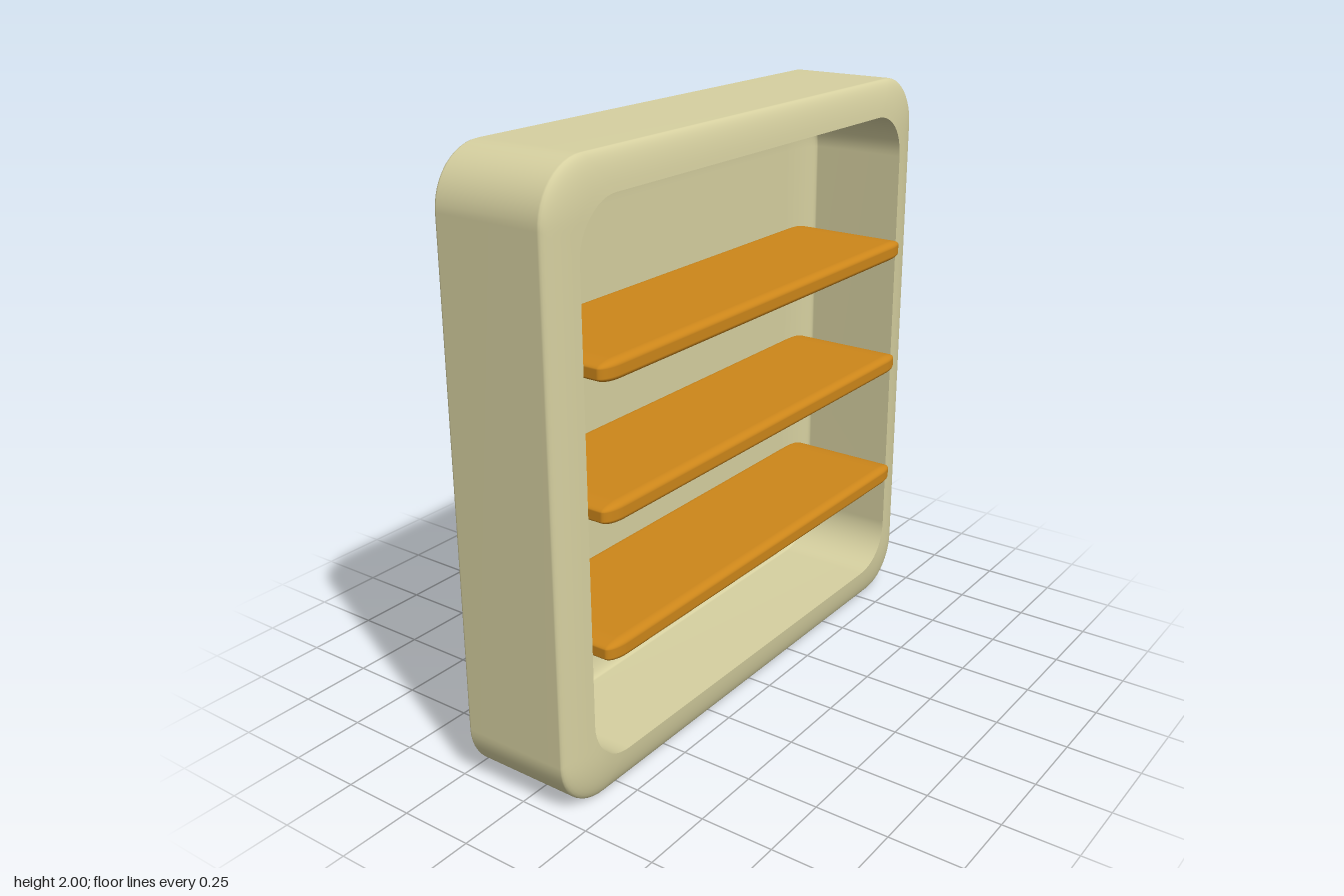
import * as THREE from 'three';
import { RoundedBoxGeometry } from 'three/addons/geometries/RoundedBoxGeometry.js';

const CORNER_STEPS = 12;

// Points [y, z] of a rounded square with half size h and corner radius r
function roundedSquare(h, r) {
  const points = [];
  for (let q = 0; q < 4; q++) {
    const mid = (q + 0.5) * Math.PI / 2;
    const cy = Math.sign(Math.cos(mid)) * (h - r);
    const cz = Math.sign(Math.sin(mid)) * (h - r);
    for (let i = 0; i <= CORNER_STEPS; i++) {
      const a = (q + i / CORNER_STEPS) * Math.PI / 2;
      points.push([cy + r * Math.cos(a), cz + r * Math.sin(a)]);
    }
  }
  return points;
}

const ringAt = (x, h, r) => roundedSquare(h, r).map(([y, z]) => [x, y, z]);

// Closed loops joined one after another into a smooth skin
function loft(rings) {
  const n = rings[0].length;
  const index = [];
  for (let k = 0; k < rings.length - 1; k++) {
    for (let i = 0; i < n; i++) {
      const j = (i + 1) % n;
      const a = k * n + i, b = k * n + j, c = a + n, d = b + n;
      index.push(a, b, c, b, d, c);
    }
  }
  const geometry = new THREE.BufferGeometry();
  geometry.setAttribute('position', new THREE.Float32BufferAttribute(rings.flat(2), 3));
  geometry.setIndex(index);
  geometry.computeVertexNormals();
  return geometry;
}

// Rings of a softly rounded back, from its middle out to the side wall
function roundedBack(x, h, r, depth) {
  const rings = [ringAt(x, 0, 0)];
  for (let i = 0; i <= 10; i++) {
    const a = i / 10 * Math.PI / 2;
    const s = Math.max(Math.sin(a), 0.002);
    rings.push(ringAt(x + depth * (1 - Math.cos(a)), h - r + r * s, r * s));
  }
  return rings;
}

export function createModel() {
  const group = new THREE.Group();
  const caseMaterial = new THREE.MeshStandardMaterial({ color: 0xd6d0a0 });
  const shelfMaterial = new THREE.MeshStandardMaterial({ color: 0xcc861a });

  const back = -0.25, front = 0.2, depth = 0.043;
  const outer = { h: 1, r: 0.18 }, inner = { h: 0.88, r: 0.16 };

  // Height of the curved front rim at a point
  const rimX = (y, z) => {
    const c = outer.h - outer.r;
    const d = Math.hypot(Math.max(Math.abs(y) - c, 0), Math.max(Math.abs(z) - c, 0)) / outer.r;
    return front - depth * (1 - Math.sqrt(Math.max(0, 1 - d * d)));
  };

  // Case: back, side wall and front rim up to the opening
  const shell = roundedBack(back, outer.h, outer.r, depth);
  const outerLoop = roundedSquare(outer.h, outer.r);
  const innerLoop = roundedSquare(inner.h, inner.r);
  for (let k = 0; k <= 10; k++) {
    const t = (k / 10) ** 2;
    shell.push(outerLoop.map(([y, z], i) => {
      const py = y + (innerLoop[i][0] - y) * t;
      const pz = z + (innerLoop[i][1] - z) * t;
      return [k === 0 ? front - depth : rimX(py, pz), py, pz];
    }));
  }
  const caseShell = new THREE.Mesh(loft(shell), caseMaterial);
  caseShell.name = 'caseShell';
  caseShell.position.y = 1;

  // Cavity: from the opening edge inward to the inner back
  const cavityRings = [
    innerLoop.map(([y, z]) => [rimX(y, z), y, z]),
    ...roundedBack(-0.18, inner.h, inner.r, 0.038).reverse(),
  ];
  const cavity = new THREE.Mesh(loft(cavityRings), caseMaterial);
  cavity.name = 'cavity';
  cavity.position.y = 1;
  group.add(caseShell, cavity);

  // Shelves: rounded boards, with softer rounding along their length
  const size = [0.445, 0.067, 1.7], round = [0.03, 0.02, 0.08];
  const shelfGeometry = new RoundedBoxGeometry(...size.map((s, i) => s / round[i]), 5, 1);
  shelfGeometry.scale(...round);
  [0.52, 0.966, 1.398].forEach((y, i) => {
    const shelf = new THREE.Mesh(shelfGeometry, shelfMaterial);
    shelf.name = `shelf${i + 1}`;
    shelf.position.set(0.246 - size[0] / 2, y, 0);
    group.add(shelf);
  });

  return group;
}
